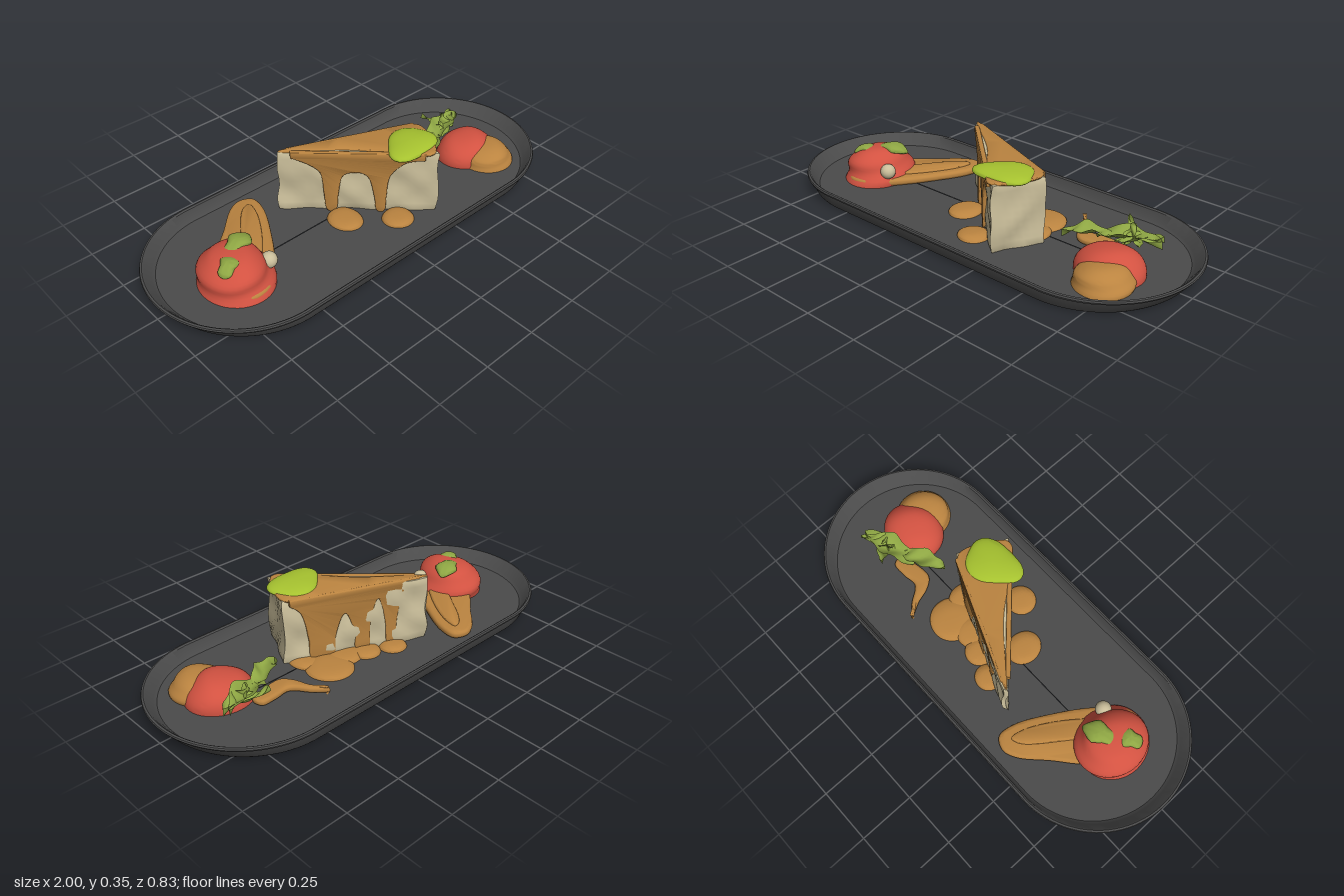
import * as THREE from 'three';
import { toCreasedNormals } from 'three/addons/utils/BufferGeometryUtils.js';

const material = (name, color, side = THREE.FrontSide) => {
  const m = new THREE.MeshStandardMaterial({ color, side });
  m.name = name;
  return m;
};

const FLOOR = 0.02;
const V2 = (p) => new THREE.Vector2(p[0], p[1]);

export function createModel() {
  const slate = material('slate', 0x4b4b4b);
  const cream = material('cream', 0xcabe9a);
  const caramel = material('caramel', 0xbb8440);
  const red = material('berry red', 0xd25241);
  const leafGreen = material('leaf green', 0x8ea643, THREE.DoubleSide);
  const lime = material('lime glaze', 0xa6c22f);

  const model = new THREE.Group();
  model.name = 'platedDessert';
  const add = (parent, name, geometry, mat) => {
    const mesh = new THREE.Mesh(geometry, mat);
    mesh.name = name;
    parent.add(mesh);
    return mesh;
  };
  const group = (name) => {
    const g = new THREE.Group();
    g.name = name;
    model.add(g);
    return g;
  };

  // Move every vertex by a rule
  const warp = (geo, rule) => {
    const pos = geo.attributes.position;
    const v = new THREE.Vector3();
    for (let i = 0; i < pos.count; i++) {
      rule(v.fromBufferAttribute(pos, i));
      pos.setXYZ(i, v.x, v.y, v.z);
    }
    return geo;
  };

  // Flat rounded slab from a plan outline of [x, z] points
  const pad = (points, y, height, bevel = height * 0.45, smooth = true) => {
    const outline = points.map(([x, z]) => new THREE.Vector3(x, -z, 0));
    const curve = new THREE.CatmullRomCurve3(outline, true);
    const pts = smooth ? curve.getPoints(64).slice(0, -1) : outline;
    const shape = new THREE.Shape(pts.map((p) => new THREE.Vector2(p.x, p.y)));
    const geo = new THREE.ExtrudeGeometry(shape, {
      depth: height - 2 * bevel, bevelThickness: bevel, bevelSize: bevel, bevelOffset: -bevel, bevelSegments: 3,
    });
    geo.rotateX(-Math.PI / 2).translate(0, y + bevel, 0);
    return toCreasedNormals(geo, 0.9);
  };

  // Lumpy half dome standing on the plate; power below 1 makes steeper sides
  const dome = (x, z, rx, h, rz, power = 1, ridges = 0, lumps = 0.03) => {
    const geo = new THREE.SphereGeometry(1, 40, 16, 0, Math.PI * 2, 0, Math.PI / 2);
    warp(geo, (v) => {
      const flat = Math.hypot(v.x, v.z) || 1;
      const a = Math.atan2(v.z, v.x);
      const k = Math.pow(flat, power) / flat *
        (1 + lumps * Math.sin(2 * a + 1 + 3 * v.y) + ridges * flat * Math.sin(9 * v.y + a));
      v.set(x + v.x * k * rx, FLOOR + v.y * h * (1 + lumps * Math.sin(v.x * 5 + v.z * 3)), z + v.z * k * rz);
    });
    return toCreasedNormals(geo, 1.2);
  };

  // Curled pointed leaf running between two points
  const leaf = (parent, from, to, width, curl) => {
    const a = new THREE.Vector3(...from), b = new THREE.Vector3(...to);
    const d = b.clone().sub(a), len = d.length();
    const geo = new THREE.PlaneGeometry(1, 1, 14, 6).rotateX(-Math.PI / 2);
    warp(geo, (v) => {
      const t = v.x + 0.5;
      const w = width * Math.pow(Math.sin(Math.PI * (0.06 + 0.94 * t)), 0.7) * (1 + 0.15 * Math.sin(t * 15));
      const y = curl * Math.sin(Math.PI * t) + 0.9 * width * v.z * v.z + 0.008 * Math.sin(t * 11 + v.z * 5);
      v.set(t * len, y, v.z * w);
    });
    geo.computeVertexNormals();
    const mesh = add(parent, 'leaf', geo, leafGreen);
    mesh.position.copy(a);
    mesh.rotation.set(0, Math.atan2(-d.z, d.x), Math.asin(d.y / len), 'YZX');
  };

  // Oval plate: lathed rim stretched along x
  const profile = [[0.001, 0], [0.375, 0], [0.39, 0.004], [0.395, 0.012], [0.405, 0.056], [0.413, 0.06],
    [0.415, 0.068], [0.412, 0.075], [0.404, 0.077], [0.397, 0.072], [0.385, 0.03], [0.375, FLOOR], [0.001, FLOOR]];
  const N = 96;
  const plate = warp(new THREE.LatheGeometry(profile.map(V2), N, Math.PI / N), (v) => {
    v.x += Math.sign(v.x) * (0.555 + 0.03 * Math.min(1, v.y / 0.07));
  });
  add(model, 'plate', toCreasedNormals(plate, 0.6), slate);

  // Cake wedge
  const cake = group('cakeSlice');
  const tip = [-0.25, -0.195], cornerA = [0.345, 0.055], cornerB = [0.245, 0.275];
  const wedgeCorners = [tip, cornerB, cornerA, [-0.235, -0.205]];
  const wedge = [];
  wedgeCorners.forEach((p, i) => {
    const q = wedgeCorners[(i + 1) % 4];
    const n = Math.max(1, Math.round(Math.hypot(q[0] - p[0], q[1] - p[1]) / 0.03));
    for (let k = 0; k < n; k++) {
      wedge.push(new THREE.Vector2(p[0] + (q[0] - p[0]) * k / n, -(p[1] + (q[1] - p[1]) * k / n)));
    }
  });
  const body = new THREE.ExtrudeGeometry(new THREE.Shape(wedge), {
    depth: 0.285, steps: 10, bevelThickness: 0.008, bevelSize: 0.008, bevelOffset: -0.008, bevelSegments: 2,
  });
  body.rotateX(-Math.PI / 2).translate(0, FLOOR + 0.008, 0);
  warp(body, (v) => {
    const { x, y, z } = v;
    v.x += 0.005 * Math.sin(y * 28 + z * 17) + 0.003 * Math.sin(z * 50 + y * 37);
    v.z += 0.005 * Math.sin(y * 25 + x * 19) + 0.003 * Math.sin(x * 45 - y * 40);
  });
  add(cake, 'cakeBody', toCreasedNormals(body, 0.7), cream);

  // Caramel coating on the top
  add(cake, 'caramelTop', pad([[-0.245, -0.195], [-0.02, -0.005], [0.12, 0.16], [0.21, 0.255], [0.25, 0.25],
    [0.335, 0.06], [0.17, -0.025], [0, -0.093]], 0.313, 0.014), caramel);

  // Caramel drips: lower edge as [distance along the face, height]
  const drips = (from, to, edge) => {
    const shape = new THREE.Shape();
    shape.moveTo(edge[0][0], 0.322);
    shape.lineTo(...edge[0]);
    shape.splineThru(edge.slice(1).map(V2));
    shape.lineTo(edge[edge.length - 1][0], 0.322);
    const geo = new THREE.ExtrudeGeometry(shape, {
      depth: 0.012, bevelThickness: 0.005, bevelSize: 0.004, bevelSegments: 2, curveSegments: 70,
    });
    const u = new THREE.Vector3(to[0] - from[0], 0, to[1] - from[1]).normalize();
    const n = new THREE.Vector3(-u.z, 0, u.x);
    geo.applyMatrix4(new THREE.Matrix4().makeBasis(u, new THREE.Vector3(0, 1, 0), n)
      .setPosition(from[0] - n.x * 0.004, 0, from[1] - n.z * 0.004));
    add(cake, 'caramelDrips', toCreasedNormals(geo, 0.9), caramel);
  };
  drips(tip, cornerB, [[0.06, 0.3], [0.13, 0.27], [0.185, 0.22], [0.2, 0.1], [0.21, 0.03], [0.245, 0.03],
    [0.255, 0.12], [0.275, 0.21], [0.34, 0.23], [0.39, 0.2], [0.415, 0.1], [0.425, 0.03], [0.455, 0.03],
    [0.46, 0.1], [0.475, 0.21], [0.54, 0.28], [0.62, 0.295]]);
  drips(cornerA, tip, [[0.03, 0.3], [0.08, 0.25], [0.11, 0.12], [0.12, 0.03], [0.21, 0.03], [0.22, 0.12],
    [0.25, 0.21], [0.28, 0.21], [0.31, 0.12], [0.32, 0.03], [0.37, 0.03], [0.375, 0.14], [0.4, 0.25],
    [0.425, 0.25], [0.45, 0.14], [0.46, 0.03], [0.49, 0.03], [0.5, 0.16], [0.53, 0.28], [0.6, 0.305]]);

  // Lime glaze on the wide end
  const glaze = warp(new THREE.SphereGeometry(1, 32, 16), (v) => {
    const k = 1 + 0.1 * Math.sin(3 * Math.atan2(v.z, v.x));
    v.set(0.205 + v.x * 0.125 * k - v.z * 0.02, 0.322 + v.y * 0.026, 0.14 + v.z * 0.1 * k);
  });
  add(cake, 'limeGlaze', toCreasedNormals(glaze, 1.2), lime);

  // Caramel puddles around the cake
  [[0.225, -0.09, 0.1, 0.105], [0.03, -0.1, 0.065, 0.07], [-0.085, -0.155, 0.06, 0.06], [0.12, -0.06, 0.08, 0.08],
    [-0.09, 0.055, 0.07, 0.085], [0.085, 0.2, 0.068, 0.07], [0.27, 0.02, 0.06, 0.08]].forEach(([x, z, rx, rz]) =>
    add(cake, 'caramelPuddle', dome(x, z, rx, 0.022, rz, 0.7), caramel));

  // Left-hand garnish: caramel smear, red swirl and leaves
  const swirl = group('redSwirlGarnish');
  add(swirl, 'caramelSmear', pad([[-0.43, -0.31], [-0.37, -0.33], [-0.315, -0.3], [-0.32, -0.22], [-0.4, -0.06],
    [-0.5, 0.09], [-0.6, 0.19], [-0.7, 0.19], [-0.74, 0.05], [-0.66, -0.1], [-0.54, -0.21]], FLOOR, 0.035), caramel);
  add(swirl, 'smearRidge', pad([[-0.4, -0.26], [-0.36, -0.27], [-0.37, -0.2], [-0.47, -0.03], [-0.55, 0.05],
    [-0.58, 0], [-0.5, -0.14]], FLOOR + 0.025, 0.02), caramel);
  add(swirl, 'redSwirl', dome(-0.66, 0.035, 0.148, 0.145, 0.17, 0.75, 0.06), red);
  const ball = add(swirl, 'creamPearl', new THREE.SphereGeometry(0.035, 20, 14), cream);
  ball.position.set(-0.535, 0.09, 0.1);
  [[-0.61, 0.16, 0.0, 0.08, 0.045, 0.4], [-0.705, 0.15, 0.075, 0.06, 0.04, 0.5]].forEach(([x, y, z, rx, rz, turn]) => {
    const patch = add(swirl, 'greenPatch', toCreasedNormals(warp(new THREE.SphereGeometry(1, 24, 12), (v) => {
      v.set(v.x * rx, v.y * 0.02 - 0.02 * v.x * v.x, v.z * rz * (1 + 0.2 * Math.sin(v.x * 5)));
    }), 1.2), leafGreen);
    patch.position.set(x, y, z);
    patch.rotation.y = turn;
  });

  // Right-hand garnish: red fruit, caramel and leaves
  const fruit = group('redFruitGarnish');
  add(fruit, 'redFruit', dome(0.672, 0.065, 0.145, 0.104, 0.135, 0.85), red);
  add(fruit, 'caramelCap', dome(0.705, 0.155, 0.12, 0.084, 0.125, 0.75, 0.03), caramel);
  add(fruit, 'caramelSplash', pad([[0.345, -0.225], [0.4, -0.18], [0.46, -0.11], [0.53, -0.115], [0.6, -0.11],
    [0.61, -0.06], [0.54, -0.04], [0.45, -0.035], [0.41, -0.08], [0.385, -0.15]], FLOOR, 0.03), caramel);
  leaf(fruit, [0.59, 0.085, -0.06], [0.415, 0.075, 0.035], 0.085, 0.025);
  leaf(fruit, [0.53, 0.07, -0.05], [0.79, 0.085, -0.12], 0.1, 0.03);
  leaf(fruit, [0.72, 0.085, -0.07], [0.6, 0.14, -0.17], 0.05, -0.015);
  leaf(fruit, [0.62, 0.08, -0.04], [0.78, 0.1, -0.15], 0.06, 0.015);
  leaf(fruit, [0.66, 0.08, -0.05], [0.67, 0.155, -0.11], 0.05, -0.01);

  return model;
}
